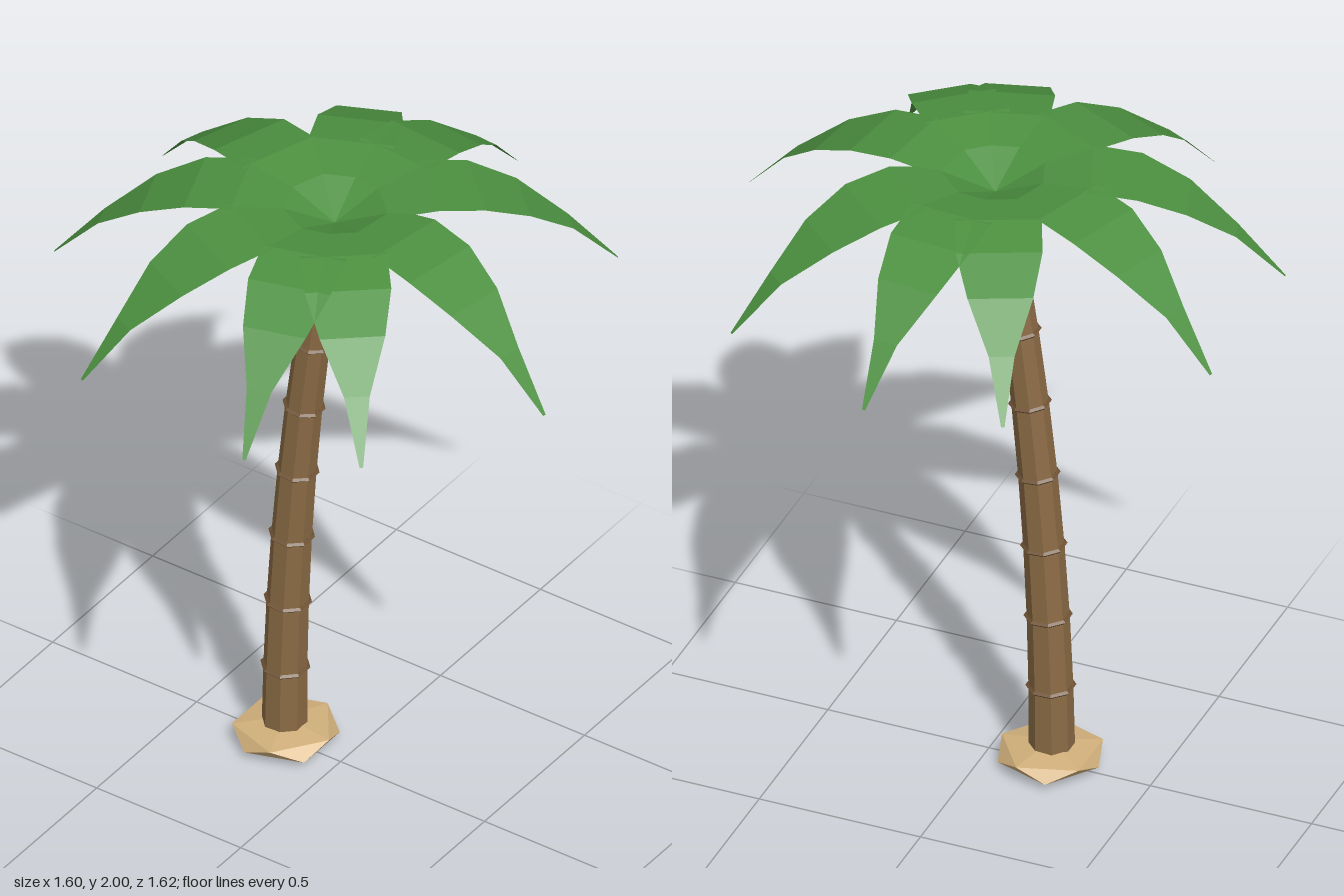
import * as THREE from 'three';

const paint = (name, color, side = THREE.FrontSide) => {
  const m = new THREE.MeshStandardMaterial({ color, side });
  m.name = name;
  return m;
};

// Faceted mesh: split faces so every triangle keeps its own normal
function part(name, geometry, material) {
  const g = geometry.index ? geometry.toNonIndexed() : geometry;
  g.computeVertexNormals();
  const mesh = new THREE.Mesh(g, material);
  mesh.name = name;
  return mesh;
}

// Trunk lean and taper by height
const TOP = 1.91, BOTTOM = 0.03;
const leanX = (y) => -0.195 + 0.17 * (y / 1.93) ** 2;
const leanSlope = (y) => 0.34 * y / 1.93 ** 2;
const trunkRadius = (y) => THREE.MathUtils.lerp(0.067, 0.047, y / TOP);

function trunkGeometry() {
  const g = new THREE.CylinderGeometry(trunkRadius(TOP), trunkRadius(BOTTOM), TOP - BOTTOM, 8, 8);
  g.rotateY(Math.PI / 8).translate(0, (TOP + BOTTOM) / 2, 0);
  const p = g.attributes.position;
  for (let i = 0; i < p.count; i++) p.setX(i, p.getX(i) + leanX(p.getY(i)));
  return g;
}

// Drooping leaf: strip of cross-sections that rises, then falls to the tip
const HALF_WIDTHS = [0.06, 0.1, 0.125, 0.124, 0.094, 0.037, 0.005];
function frondGeometry(angle, length) {
  const c = Math.cos(angle), s = Math.sin(angle);
  const pos = [], index = [];
  HALF_WIDTHS.forEach((w, i) => {
    const t = i / (HALF_WIDTHS.length - 1);
    const r = length * t;
    const y = 2 - 0.345 * ((t - 1 / 3) * 1.5) ** 2;
    for (const side of [-w, w]) pos.push(c * r - s * side, y, s * r + c * side);
    if (i > 0) {
      const a = 2 * (i - 1);
      index.push(a, a + 1, a + 2, a + 1, a + 3, a + 2);
    }
  });
  const g = new THREE.BufferGeometry();
  g.setAttribute('position', new THREE.Float32BufferAttribute(pos, 3));
  g.setIndex(index);
  return g;
}

export function createModel() {
  const bark = paint('bark', 0x8b6b45);
  const darkBark = paint('dark bark', 0x6f5234);
  const sand = paint('sand', 0xcfae7a);
  const leaf = paint('leaf green', 0x4c9040, THREE.DoubleSide);
  const nut = paint('nut brown', 0x5a2418);

  const model = new THREE.Group();
  model.name = 'palmTree';

  // Flattened sandy mound
  const mound = new THREE.IcosahedronGeometry(0.17, 0);
  mound.rotateZ(-Math.PI / 6).scale(1, 0.235, 1).translate(-0.19, 0.043, 0);
  model.add(part('sandMound', mound, sand));

  // Leaning trunk with ridge rings
  model.add(part('trunk', trunkGeometry(), bark));
  for (let i = 0; i < 7; i++) {
    const y = 0.27 + i * 0.238;
    const ring = new THREE.TorusGeometry(trunkRadius(y) + 0.002, 0.007, 4, 8);
    ring.rotateX(Math.PI / 2).rotateY(Math.PI / 8).rotateZ(-Math.atan(leanSlope(y)));
    ring.translate(leanX(y), y, 0);
    model.add(part('trunkRing', ring, darkBark));
  }

  // Crown of fronds, unevenly spaced
  const crown = new THREE.Group();
  crown.name = 'crown';
  crown.position.x = -0.02;
  for (const deg of [9, 50, 73.5, 116, 160, 199, 245.5, 274, 312.5]) {
    crown.add(part('frond', frondGeometry(THREE.MathUtils.degToRad(deg), 0.828), leaf));
  }
  model.add(crown);

  // Three hanging nut clusters
  const nuts = [
    [-0.021, 0.022, 0], [0.021, 0.026, 0], [0, 0.002, -0.021],
    [0, 0.002, 0.021], [0.012, -0.03, 0.014], [-0.012, -0.03, -0.014],
  ];
  for (const [x, z] of [[0.085, 0.02], [-0.07, 0.075], [-0.07, -0.075]]) {
    const cluster = new THREE.Group();
    cluster.name = 'nutCluster';
    cluster.position.set(x, 1.77, z);
    for (const n of nuts) {
      const mesh = part('nut', new THREE.IcosahedronGeometry(0.018, 1), nut);
      mesh.position.set(...n);
      cluster.add(mesh);
    }
    model.add(cluster);
  }
  return model;
}
